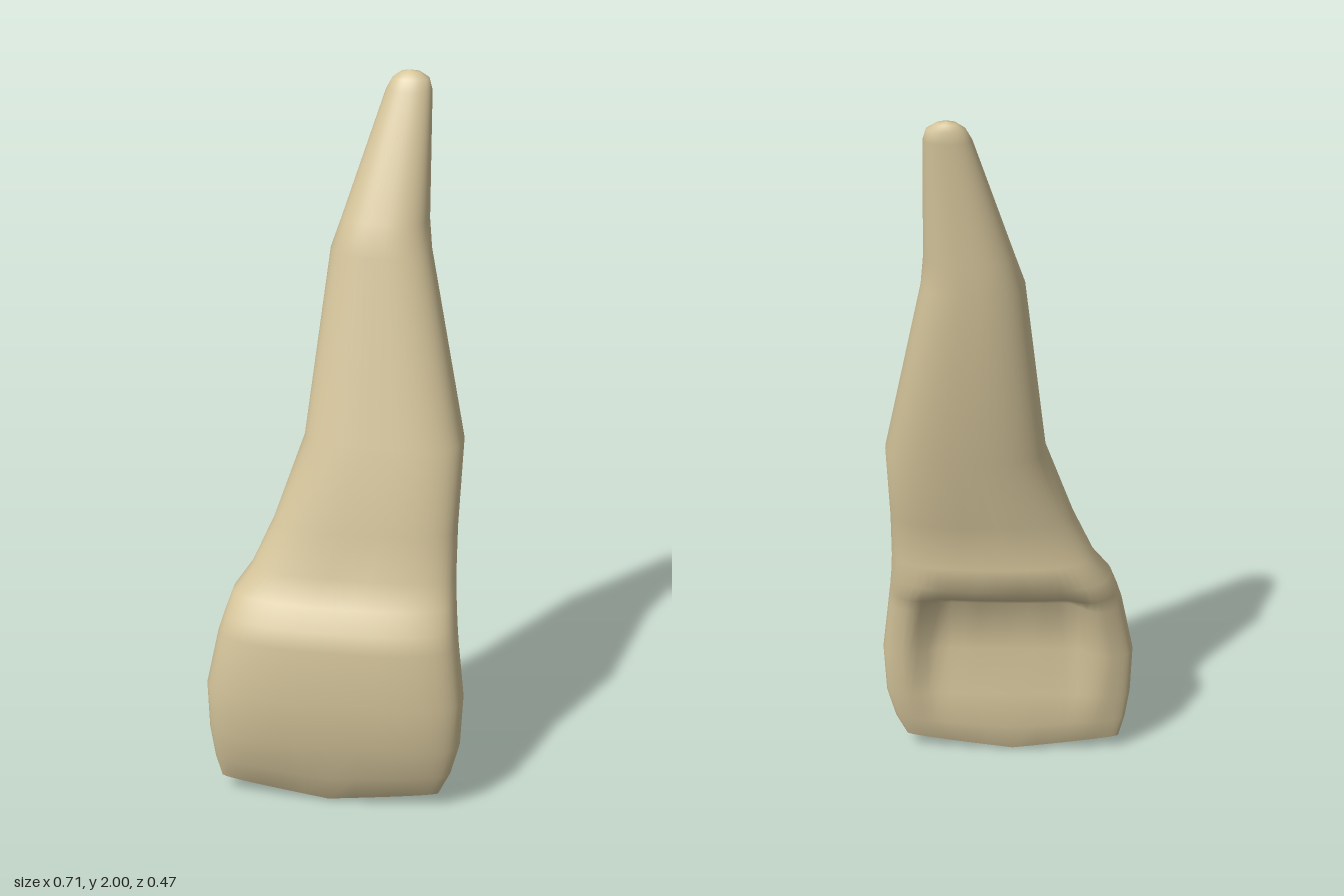
import * as THREE from 'three';

const { smoothstep } = THREE.MathUtils;
const SIDES = 56;

// Cross-sections, bottom to top: [y, xMin, xMax, zBack, zMiddle, zFront]
const SECTIONS = [
  [0.04, -0.315, 0.275, 0.127, 0.127, 0.127],
  [0.045, -0.325, 0.29, 0.112, 0.127, 0.145],
  [0.11, -0.342, 0.322, 0.092, 0.125, 0.178],
  [0.2, -0.355, 0.346, 0.068, 0.122, 0.215],
  [0.34, -0.36, 0.353, 0.043, 0.12, 0.235],
  [0.5, -0.327, 0.334, 0.006, 0.11, 0.234],
  [0.55, -0.312, 0.328, -0.033, 0.1, 0.22],
  [0.61, -0.292, 0.322, -0.058, 0.08, 0.188],
  [0.68, -0.243, 0.318, -0.06, 0.06, 0.148],
  [0.81, -0.185, 0.318, -0.062, 0.04, 0.142],
  [1.04, -0.108, 0.323, -0.15, -0.02, 0.095],
  [1.54, -0.053, 0.216, -0.205, -0.11, -0.008],
  [1.62, -0.026, 0.208, -0.212, -0.12, -0.027],
  [1.95, 0.078, 0.201, -0.231, -0.19, -0.15],
  [1.98, 0.094, 0.192, -0.23, -0.197, -0.163],
  [1.995, 0.115, 0.168, -0.22, -0.2, -0.178],
  [2, 0.14, 0.14, -0.2, -0.2, -0.2],
];

const rounded = (v, n) => Math.sign(v) * Math.pow(Math.abs(v), 2 / n);

function loftTooth() {
  const positions = [], index = [];
  SECTIONS.forEach(([y, x0, x1, zBack, zMid, zFront], i) => {
    // Sections turn from boxy at the crown to round at the root tip
    const n = 3 - 0.4 * y;
    // The biting edge bows down in the middle
    const sag = 0.04 * (1 - smoothstep(y, 0.04, 0.2));
    // The back of the crown is scooped out between its two side ridges
    const hollow = 0.078 * smoothstep(y, 0.08, 0.45) * (1 - smoothstep(y, 0.5, 0.6));
    for (let j = 0; j < SIDES; j++) {
      const t = (j / SIDES) * Math.PI * 2;
      const u = rounded(Math.cos(t), n), v = rounded(Math.sin(t), n);
      let z = zMid + v * (v > 0 ? zFront - zMid : zMid - zBack);
      if (v < 0) z += hollow * (1 - smoothstep(Math.abs(u), 0.5, 0.82));
      positions.push((x0 + x1) / 2 + (u * (x1 - x0)) / 2, y - sag * (1 - Math.abs(u)), z);
      if (i < SECTIONS.length - 1) {
        const a = i * SIDES + j, b = i * SIDES + ((j + 1) % SIDES);
        const c = a + SIDES, d = b + SIDES;
        index.push(a, c, b, b, c, d);
      }
    }
  });
  const geometry = new THREE.BufferGeometry();
  geometry.setAttribute('position', new THREE.Float32BufferAttribute(positions, 3));
  geometry.setIndex(index);
  geometry.computeVertexNormals();
  return geometry;
}

export function createModel() {
  const ivory = new THREE.MeshStandardMaterial({ color: 0xd6c69c });
  ivory.name = 'ivory';

  // Crown and root are one continuous surface
  const tooth = new THREE.Mesh(loftTooth(), ivory);
  tooth.name = 'crownAndRoot';

  const group = new THREE.Group();
  group.name = 'incisor';
  group.add(tooth);
  return group;
}
